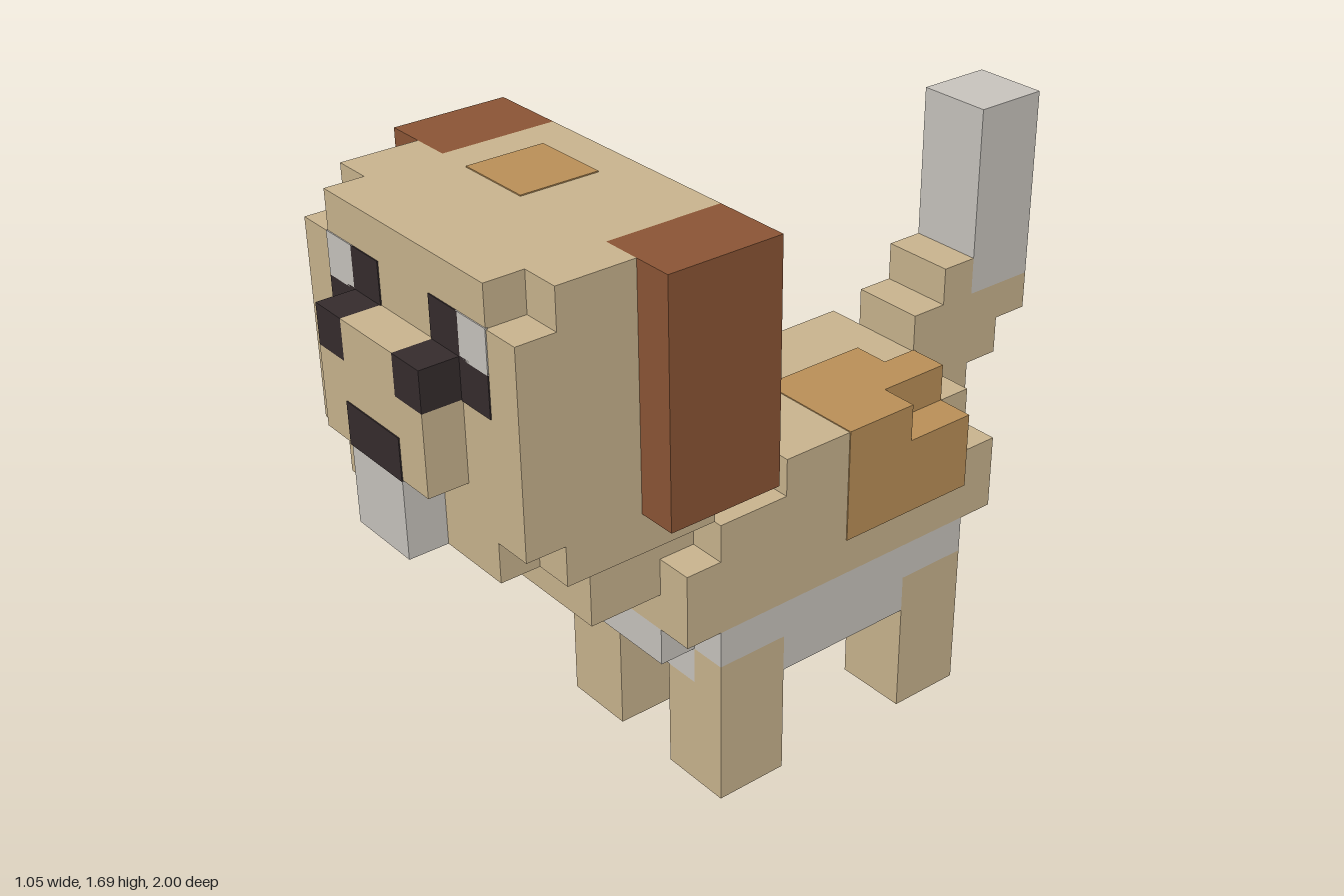
import * as THREE from 'three';

const U = 2 / 19; // one block of the grid

const mat = (name, color) => {
  const m = new THREE.MeshStandardMaterial({ color });
  m.name = name;
  return m;
};

export function createModel() {
  const tan = mat('tan fur', 0xc9b48e);
  const cream = mat('pale fur', 0xc8c4be);
  const brown = mat('brown ear', 0x8b5535);
  const patch = mat('orange patch', 0xba9058);
  const dark = mat('dark', 0x352c2d);

  const model = new THREE.Group();
  model.name = 'blockDog';

  const group = (name) => {
    const g = new THREE.Group();
    g.name = name;
    model.add(g);
    return g;
  };

  // Box given by its x, y and z ranges in grid blocks; skin lifts painted areas off the surface
  const box = (parent, name, material, [x0, x1], [y0, y1], [z0, z1], skin = 0) => {
    const geo = new THREE.BoxGeometry(
      (x1 - x0) * U + 2 * skin, (y1 - y0) * U + 2 * skin, (z1 - z0) * U + 2 * skin);
    const mesh = new THREE.Mesh(geo, material);
    mesh.name = name;
    mesh.position.set((x0 + x1) / 2 * U, (y0 + y1) / 2 * U, (z0 + z1) / 2 * U);
    parent.add(mesh);
  };
  // Same box on both sides of the body
  const pair = (parent, name, material, [x0, x1], y, z, skin) => {
    box(parent, name + 'Left', material, [x0, x1], y, z, skin);
    box(parent, name + 'Right', material, [-x1, -x0], y, z, skin);
  };
  const SKIN = 0.003;

  // Body: a central core with stepped flanks
  const body = group('body');
  box(body, 'torso', tan, [-2, 2], [5, 6], [-6.5, 3.5]);
  box(body, 'chest', tan, [-2, 2], [6, 8], [-6.5, 5.5]);
  box(body, 'neckAndBack', tan, [-2, 2], [8, 9], [-5.5, 6.5]);
  pair(body, 'lowerFlank', tan, [2, 3], [5, 7], [-6.5, 3.5]);
  pair(body, 'middleFlank', tan, [2, 3], [7, 8], [-5.5, 2.5]);
  pair(body, 'upperFlank', tan, [2, 3], [8, 9], [-3.5, 0.5]);

  // Pale underside
  box(body, 'underside', cream, [-2, 2], [4, 5], [-6.5, 3.5]);
  pair(body, 'undersideEdge', cream, [2, 3], [4, 5], [-5.5, 2.5]);
  box(body, 'belly', cream, [-2, 2], [3, 4], [-5.5, 2.5]);
  pair(body, 'bellyEdge', cream, [2, 3], [3, 4], [-3.5, 0.5]);

  // Orange patch wrapping over the left hip
  const hip = group('hipPatch');
  box(hip, 'hipPatchSide', patch, [2, 3], [6, 8], [-5.5, -1.5], SKIN);
  box(hip, 'hipPatchTop', patch, [0, 3], [8, 9], [-3.5, -1.5], SKIN);
  box(hip, 'hipPatchMiddle', patch, [0, 2], [8, 9], [-4.5, -3.5], SKIN);
  box(hip, 'hipPatchBack', patch, [1, 2], [8, 9], [-5.5, -4.5], SKIN);

  // Legs
  const legs = group('legs');
  for (const [name, z] of [['front', [0.5, 2.5]], ['back', [-5.5, -3.5]]]) {
    pair(legs, name + 'Leg', tan, [1, 3], [0, 3], z);
    pair(legs, name + 'Thigh', tan, [2, 3], [3, 4], z);
  }

  // Tail: rising steps with a pale upright tip
  const tail = group('tail');
  box(tail, 'tailRoot', tan, [-1, 1], [8, 10], [-6.5, -5.5]);
  box(tail, 'tailStep', tan, [-1, 1], [7, 11], [-7.5, -6.5]);
  box(tail, 'tailBend', tan, [-1, 1], [8, 10], [-8.5, -7.5]);
  box(tail, 'tailBack', tan, [-1, 1], [9, 10], [-9.5, -8.5]);
  box(tail, 'tailTip', cream, [-1, 1], [10, 15], [-9.5, -7.5]);

  // Head: core, back panel and side layers with clipped corners
  const head = group('head');
  box(head, 'skull', tan, [-3, 3], [9, 16], [2.5, 8.5]);
  box(head, 'backOfHead', tan, [-3, 3], [9, 15], [1.5, 2.5]);
  pair(head, 'jawSide', tan, [3, 4], [9, 10], [3.5, 7.5]);
  pair(head, 'cheek', tan, [3, 4], [10, 15], [5.5, 8.5]);
  pair(head, 'browSide', tan, [3, 4], [15, 16], [5.5, 7.5]);
  pair(head, 'ear', brown, [3, 5], [10, 16], [2.5, 5.5]);
  box(head, 'crownPatch', patch, [-2, 0], [15.99, 16], [3.5, 5.5], SKIN);

  // Muzzle, mouth and chin
  const face = group('face');
  box(face, 'muzzle', tan, [-2, 2], [11, 13], [8.5, 9.5]);
  box(face, 'muzzleTop', tan, [-1, 1], [13, 14], [8.5, 9.5]);
  box(face, 'chin', cream, [-1, 1], [9, 11], [8.5, 9.5]);
  box(face, 'mouth', dark, [-1, 1], [11, 12], [9.49, 9.5], SKIN);

  // Eyes: dark blocks with pale outer corners
  pair(face, 'eyeInnerLow', dark, [1, 2], [13, 14], [8.5, 9.5]);
  pair(face, 'eyeInnerHigh', dark, [1, 2], [14, 15], [8.49, 8.5], SKIN);
  pair(face, 'eyeOuterLow', dark, [2, 3], [13, 14], [8.49, 8.5], SKIN);
  pair(face, 'eyeHighlight', cream, [2, 3], [14, 15], [8.49, 8.5], SKIN);

  return model;
}
